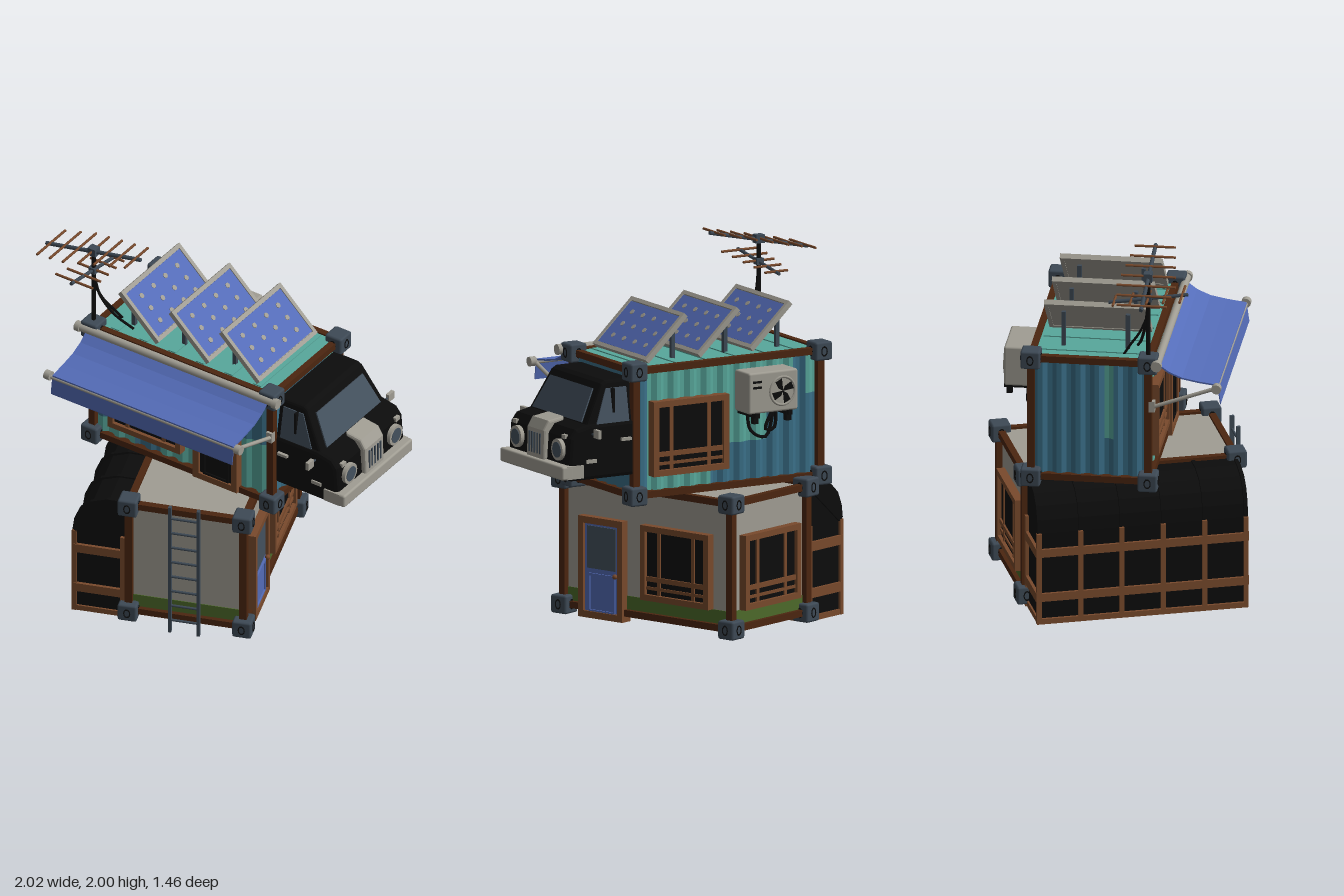
import * as THREE from 'three';
import { RoundedBoxGeometry } from 'three/addons/geometries/RoundedBoxGeometry.js';

const mat = (name, color) => Object.assign(new THREE.MeshStandardMaterial({ color }), { name });
const black = mat('black', 0x0c0c0c), slate = mat('slate', 0x3e4a56), rust = mat('dark rust', 0x4c2610);
const wood = mat('wood', 0x794a2c), teal = mat('teal', 0x58a89c), steel = mat('steel blue', 0x3a6f88);
const blue = mat('blue', 0x546cb8), grey = mat('warm grey', 0xa09d93), green = mat('green', 0x4d6a2a);
const glass = mat('glass', 0x44515e);
for (const m of [teal, steel, blue]) m.side = THREE.DoubleSide;

const V = (x, y, z) => new THREE.Vector3(x, y, z);
function add(parent, name, geo, m, x = 0, y = 0, z = 0) {
  const o = new THREE.Mesh(geo, m);
  o.name = name; o.position.set(x, y, z); parent.add(o);
  return o;
}
const box = (p, name, m, w, h, d, x, y, z) => add(p, name, new THREE.BoxGeometry(w, h, d), m, x, y, z);
function group(parent, name, x = 0, y = 0, z = 0, ry = 0) {
  const g = new THREE.Group();
  g.name = name; g.position.set(x, y, z); g.rotation.y = ry; parent.add(g);
  return g;
}
// Straight rod between two points
function rod(p, name, m, a, b, r, sides = 8) {
  const o = add(p, name, new THREE.CylinderGeometry(r, r, a.distanceTo(b), sides), m);
  o.position.copy(a).lerp(b, 0.5);
  o.quaternion.setFromUnitVectors(V(0, 1, 0), b.clone().sub(a).normalize());
}
const cable = (p, name, m, pts, r) =>
  add(p, name, new THREE.TubeGeometry(new THREE.CatmullRomCurve3(pts), 16, r, 6), m);
const poly = pts => new THREE.Shape(pts.map(q => new THREE.Vector2(q[0], q[1])));
const slab = (pts, depth, bevel = 0) => new THREE.ExtrudeGeometry(poly(pts),
  { depth, bevelEnabled: bevel > 0, bevelSize: bevel, bevelThickness: bevel, bevelOffset: -bevel, bevelSegments: 2 });

// Container frame: corner castings, posts and beams
function frame(p, hx, hz, y0, y1) {
  for (const x of [-hx, hx]) for (const z of [-hz, hz]) {
    box(p, 'post', rust, 0.04, y1 - y0, 0.04, x, (y0 + y1) / 2, z);
    for (const y of [y0, y1]) {
      const c = group(p, 'cornerCasting', x, y, z);
      add(c, 'block', new RoundedBoxGeometry(0.104, 0.1, 0.104, 1, 0.012), slate);
      for (let i = 0; i < 4; i++) {
        const s = group(c, 'socket', 0, 0, 0, i * Math.PI / 2);
        add(s, 'socketRing', new THREE.TorusGeometry(0.022, 0.004, 6, 12), black, 0, 0, 0.052).scale.set(0.75, 1.1, 1);
      }
    }
  }
  for (const y of [y0, y1]) for (const s of [-1, 1]) {
    box(p, 'beam', rust, hx * 2, 0.036, 0.036, 0, y, s * hz);
    box(p, 'beam', rust, 0.036, 0.036, hz * 2, s * hx, y, 0);
  }
}
// Rectangular wooden surround
function surround(g, w, h, t, d) {
  for (const s of [-1, 1]) {
    box(g, 'jamb', wood, t, h, d, s * (w - t) / 2, 0, 0);
    box(g, 'rail', wood, w, t, d, 0, s * (h - t) / 2, 0);
  }
}
function windowUnit(p, x, y, z, ry) {
  const g = group(p, 'window', x, y, z, ry), w = 0.46, h = 0.4;
  surround(g, w, h, 0.032, 0.07);
  box(g, 'pane', black, w - 0.05, h - 0.05, 0.03, 0, 0, 0);
  for (const s of [-1, 1]) box(g, 'mullion', wood, 0.02, h, 0.045, s * 0.115, 0, 0);
  box(g, 'transom', wood, w - 0.02, 0.026, 0.05, 0, -0.085, 0);
  box(g, 'transom', wood, w - 0.02, 0.016, 0.045, 0, -0.135, 0);
}
function doorUnit(p, x, y, z, ry, w, h, m) {
  const g = group(p, 'door', x, y, z, ry);
  surround(g, w, h, 0.036, 0.07);
  box(g, 'doorLeaf', m, w - 0.06, h - 0.04, 0.04, 0, -0.01, 0);
  box(g, 'doorGlass', glass, w - 0.11, h * 0.42, 0.006, 0, h * 0.2, 0.022);
  for (const s of [-1, 1]) {
    box(g, 'panelMoulding', m, 0.014, h * 0.36, 0.012, s * (w / 2 - 0.065), -h * 0.25, 0.022);
    box(g, 'panelMoulding', m, w - 0.12, 0.014, 0.012, 0, -h * 0.25 + s * h * 0.18, 0.022);
  }
  add(g, 'knob', new THREE.SphereGeometry(0.014, 10, 8), wood, w / 2 - 0.05, -0.03, 0.035);
}
// Corrugated sheet; isSteel(u, v) picks the paint of each cell
function corrugated(p, name, w, h, x, y, z, ry, isSteel) {
  const ribs = Math.round(w / 0.1), nx = ribs * 4, ny = 6;
  const geo = new THREE.PlaneGeometry(w, h, nx, ny).toNonIndexed(), a = geo.attributes.position;
  for (let i = 0; i < a.count; i++) {
    const k = Math.round((a.getX(i) / w + 0.5) * nx) % 4;
    a.setZ(i, k === 1 || k === 2 ? 0.016 : 0);
  }
  for (let j = 0; j < ny; j++) for (let i = 0; i < nx; i++)
    geo.addGroup((j * nx + i) * 6, 6, isSteel((i + 0.5) / nx, 1 - (j + 0.5) / ny) ? 1 : 0);
  geo.computeVertexNormals();
  add(p, name, geo, [teal, steel], x, y, z).rotation.y = ry;
}

function lowerRoom(root) {
  const g = group(root, 'lowerRoom', -0.06, 0, -0.09, -0.053);
  frame(g, 0.31, 0.565, 0.06, 0.73);
  box(g, 'walls', grey, 0.6, 0.68, 1.11, 0, 0.395, 0);
  box(g, 'greenStripe', green, 0.608, 0.09, 1.118, 0, 0.105, 0);
  doorUnit(g, 0.31, 0.28, 0.294, Math.PI / 2, 0.3, 0.54, blue);
  windowUnit(g, 0.31, 0.35, -0.206, Math.PI / 2);
  windowUnit(g, 0, 0.35, -0.565, Math.PI);
  // Ladder
  const l = group(g, 'ladder', 0.005, 0, 0.632);
  for (const s of [-1, 1]) box(l, 'ladderRail', slate, 0.016, 0.8, 0.022, s * 0.077, 0.4, 0);
  for (let i = 0; i < 8; i++) rod(l, 'rung', slate, V(-0.077, 0.075 + i * 0.093, 0), V(0.077, 0.075 + i * 0.093, 0), 0.007);
  // Lean-to with curved cover
  const s = group(g, 'leanTo');
  const arc = [[-0.605, 0.51], [-0.595, 0.58], [-0.565, 0.65], [-0.51, 0.7], [-0.42, 0.73]];
  add(s, 'cover', slab([[-0.31, 0.02], [-0.605, 0.02], ...arc, [-0.31, 0.73]].reverse(), 1.11), black, 0, 0, -0.555);
  box(s, 'basePlate', wood, 0.31, 0.03, 1.13, -0.465, 0.015, 0);
  for (let i = 0; i <= 5; i++) {
    const z = -0.555 + i * 0.222;
    box(s, 'post', wood, 0.026, 0.51, 0.026, -0.607, 0.255, z);
    const rib = [[-0.33, 0.72], [-0.33, 0.738], ...arc.map(q => [q[0] - 0.012, q[1] + 0.008]).reverse(), [-0.59, 0.5]];
    add(s, 'coverRib', slab(rib, 0.02), black, 0, 0, z - 0.01);
  }
  for (const y of [0.15, 0.4]) {
    box(s, 'sideRail', wood, 0.026, 0.045, 1.13, -0.607, y, 0);
    for (const e of [-1, 1]) box(s, 'endRail', wood, 0.29, 0.05, 0.024, -0.465, y, e * 0.56);
  }
  for (const e of [-1, 1]) box(s, 'innerPost', wood, 0.024, 0.51, 0.026, -0.345, 0.255, e * 0.56);
}

// Roof panel, tilted to face the cab
function solarPanel(p, t) {
  const g = group(p, 'solarPanel', t, 1.585, 0.01);
  const tilt = group(g, 'tilt');
  tilt.rotation.z = -0.76;
  box(tilt, 'panelBack', grey, 0.31, 0.014, 0.52, 0, -0.004, 0);
  box(tilt, 'cells', blue, 0.28, 0.006, 0.5, 0, 0.006, 0);
  for (const s of [-1, 1]) {
    box(tilt, 'edge', grey, 0.022, 0.028, 0.54, s * 0.154, 0, 0);
    box(tilt, 'edge', grey, 0.33, 0.028, 0.022, 0, 0, s * 0.26);
    box(g, 'leg', slate, 0.022, 0.2, 0.022, -0.095, -0.045, s * 0.17);
  }
  for (let i = 0; i < 3; i++) for (let j = 0; j < 4; j++)
    add(tilt, 'cellSpot', new THREE.CylinderGeometry(0.015, 0.015, 0.004, 8), grey, (i - 1) * 0.08, 0.01, (j - 1.5) * 0.11);
}

function awning(p) {
  const g = group(p, 'awning', 0, 0, 0.31);
  const prof = [[0.05, 1.44], [0.11, 1.395], [0.18, 1.365], [0.27, 1.348], [0.37, 1.335], [0.385, 1.23]];
  const out = [...prof.map(q => [q[0], q[1] + 0.006]), ...prof.map(q => [q[0] - 0.004, q[1] - 0.002]).reverse()];
  add(g, 'canopy', slab(out, 1.15), blue, 0.575, 0, 0).rotation.y = -Math.PI / 2;
  rod(g, 'rollTube', grey, V(-0.63, 1.45, 0.05), V(0.63, 1.45, 0.05), 0.022, 12);
  rod(g, 'frontBar', grey, V(-0.6, 1.325, 0.365), V(0.6, 1.325, 0.365), 0.011);
  for (const s of [-1, 1]) {
    rod(g, 'rollCap', grey, V(s * 0.61, 1.45, 0.05), V(s * 0.64, 1.45, 0.05), 0.029, 12);
    rod(g, 'barCap', grey, V(s * 0.585, 1.33, 0.365), V(s * 0.62, 1.33, 0.365), 0.026, 12);
    rod(g, 'arm', grey, V(s * 0.575, 1.2, 0.03), V(s * 0.585, 1.325, 0.36), 0.011);
    box(g, 'armBracket', grey, 0.035, 0.06, 0.03, s * 0.57, 1.2, 0.02);
  }
}

function antenna(p) {
  const g = group(p, 'antenna', -0.565, 0, 0.31);
  rod(g, 'mast', black, V(0, 1.45, 0), V(0, 1.95, 0), 0.012);
  box(g, 'mastClamp', slate, 0.05, 0.045, 0.045, 0, 1.93, 0);
  box(g, 'mastClamp', slate, 0.04, 0.035, 0.04, 0, 1.81, 0);
  rod(g, 'upperBoom', slate, V(-0.3, 1.86, 0), V(0.3, 1.99, 0), 0.011, 6);
  for (let i = 0; i < 7; i++) {
    const x = -0.27 + i * 0.09, y = 1.925 + x * 0.217, l = 0.085 + 0.012 * (6 - Math.abs(i - 2));
    rod(g, 'upperElement', wood, V(x, y + 0.008, -l), V(x, y + 0.008, l), 0.007, 6);
  }
  rod(g, 'lowerBoom', slate, V(0, 1.84, 0.21), V(0, 1.775, -0.21), 0.01, 6);
  for (let i = 0; i < 5; i++) {
    const z = -0.18 + i * 0.09, l = 0.07 + 0.012 * i;
    rod(g, 'lowerElement', wood, V(-l, 1.812 + z * 0.155, z), V(l, 1.812 + z * 0.155, z), 0.007, 6);
  }
  cable(g, 'cable', black, [V(0, 1.78, 0), V(0.03, 1.64, -0.02), V(0.1, 1.53, -0.05), V(0.2, 1.46, -0.08)], 0.008);
  cable(g, 'cable', black, [V(0, 1.72, 0), V(0.03, 1.6, -0.05), V(0.06, 1.52, -0.1), V(0.09, 1.45, -0.14)], 0.007);
}

function airConditioner(p) {
  const g = group(p, 'airConditioner', -0.18, 1.285, -0.41, Math.PI);
  add(g, 'housing', new RoundedBoxGeometry(0.3, 0.22, 0.15, 2, 0.012), grey);
  add(g, 'fanRing', new THREE.TorusGeometry(0.075, 0.007, 6, 24), grey, 0.055, 0, 0.075);
  for (let i = 0; i < 4; i++) {
    const f = group(g, 'fanBlade', 0.055, 0, 0.077);
    f.rotation.z = i * Math.PI / 2 + 0.3;
    add(f, 'blade', slab([[0, 0], [0.065, -0.012], [0.06, 0.028], [0.02, 0.02]], 0.005), black);
  }
  for (let i = 0; i < 2; i++) box(g, 'vent', black, 0.055, 0.012, 0.006, -0.1, 0.06 - i * 0.03, 0.075);
  for (const s of [-1, 1]) {
    box(g, 'bracketArm', black, 0.025, 0.025, 0.2, s * 0.1, -0.12, -0.02);
    box(g, 'bracketFoot', black, 0.03, 0.05, 0.03, s * 0.1, -0.14, 0.05);
    cable(g, 'hose', black, [V(-0.09 * s, -0.1, -0.05), V(-0.07 * s, -0.22, -0.04),
      V(0.02, -0.24 - s * 0.02, -0.04), V(0.08, -0.1, -0.05)], 0.009);
  }
}

// Truck cab on the end of the container
function cab(p) {
  const g = group(p, 'cab', 0, 0, -0.015);
  const taper = geo => {
    const a = geo.attributes.position;
    for (let i = 0; i < a.count; i++) a.setZ(i, a.getZ(i) * (1 - 0.6 * Math.max(0, a.getY(i) - 1.15)));
    geo.computeVertexNormals();
    return geo;
  };
  add(g, 'cabBody', slab([[0.57, 0.89], [0.95, 0.89], [0.975, 0.98], [0.965, 1.12], [0.93, 1.165], [0.84, 1.185], [0.57, 1.185]], 0.58, 0.02), black, 0, 0, -0.29);
  const roof = slab([[0.57, 1.15], [0.872, 1.15], [0.745, 1.385], [0.72, 1.4], [0.57, 1.4]], 0.57, 0.015).translate(0, 0, -0.285);
  add(g, 'cabRoof', taper(roof), black);
  const ws = group(g, 'windshield', 0.811, 1.276, 0);
  ws.rotation.set(-0.495, Math.PI / 2, 0, 'YXZ');
  add(ws, 'windshieldGlass', slab([[-0.25, -0.1], [0.25, -0.1], [0.215, 0.09], [-0.215, 0.09]], 0.008), glass);
  for (const s of [-1, 1]) {
    const pane = slab([[0.6, 1.18], [0.8, 1.18], [0.725, 1.36], [0.6, 1.36]], 0.008).translate(0, 0, s * 0.302 - 0.004);
    add(g, 'sideGlass', taper(pane), glass);
    box(g, 'quarterBar', black, 0.014, 0.2, 0.03, 0.69, 1.26, s * 0.276);
    box(g, 'doorHandle', grey, 0.06, 0.016, 0.02, 0.63, 1.09, s * 0.317);
    box(g, 'stepTrim', grey, 0.06, 0.02, 0.012, 0.84, 0.99, s * 0.312);
    rod(g, 'mirrorArm', slate, V(0.83, 1.13, s * 0.3), V(0.84, 1.15, s * 0.37), 0.006);
    box(g, 'mirror', grey, 0.02, 0.045, 0.05, 0.84, 1.145, s * 0.375);
    rod(g, 'headlightRim', grey, V(0.95, 1.05, s * 0.21), V(0.99, 1.05, s * 0.21), 0.058, 20);
    rod(g, 'headlightLens', glass, V(0.98, 1.05, s * 0.21), V(0.993, 1.05, s * 0.21), 0.042, 20);
    box(g, 'indicator', grey, 0.02, 0.022, 0.035, 0.965, 1.125, s * 0.25);
  }
  add(g, 'grille', slab([[0.87, 1.13], [0.94, 0.97], [1.0, 0.97], [0.995, 1.13], [0.965, 1.18], [0.87, 1.195]], 0.15, 0.012), grey, 0, 0, -0.075);
  for (let i = 0; i < 5; i++) box(g, 'grilleSlot', slate, 0.006, 0.11, 0.01, 0.999, 1.055, (i - 2) * 0.026);
  add(g, 'bumper', new RoundedBoxGeometry(0.075, 0.075, 0.64, 2, 0.012), grey, 0.985, 0.94, 0);
  for (const s of [-1, 1]) box(g, 'bumperReturn', grey, 0.1, 0.07, 0.025, 0.94, 0.94, s * 0.307);
}

function upperRoom(root) {
  const g = group(root, 'upperRoom', -0.06, 0, -0.165, -0.4);
  frame(g, 0.565, 0.31, 0.775, 1.44);
  const y = 1.107, h = 0.66;
  corrugated(g, 'frontWall', 1.11, h, 0, y, 0.294, 0, (u, v) =>
    (u < 0.13 && v > 0.2) || (u > 0.22 && u < 0.36 && v < 0.34) || (u > 0.78 && v > 0.45));
  corrugated(g, 'backWall', 1.11, h, 0, y, -0.294, Math.PI, (u, v) =>
    (u > 0.72 && v < 0.75) || (u > 0.42 && v < 0.3) || u < 0.07 || (u > 0.86 && u < 0.94));
  corrugated(g, 'cabEndWall', 0.6, h, 0.549, y, 0, Math.PI / 2, (u, v) => u < 0.85 || v < 0.5);
  corrugated(g, 'plainEndWall', 0.6, h, -0.549, y, 0, -Math.PI / 2, (u, v) => !(u > 0.62 && u < 0.7 && v > 0.3));
  box(g, 'roof', teal, 1.12, 0.02, 0.61, 0, 1.44, 0);
  for (let i = 0; i < 6; i++) box(g, 'roofRib', teal, 0.05, 0.008, 0.56, (i - 2.5) * 0.18, 1.452, 0);
  box(g, 'floor', steel, 1.12, 0.02, 0.61, 0, 0.775, 0);
  for (let i = 0; i < 8; i++) box(g, 'floorRib', steel, 0.05, 0.008, 0.56, (i - 3.5) * 0.14, 0.763, 0);
  windowUnit(g, -0.22, 1.07, 0.315, 0);
  windowUnit(g, 0.24, 1.07, -0.315, Math.PI);
  doorUnit(g, 0.23, 1.065, 0.315, 0, 0.28, 0.6, black);
  for (const t of [-0.3, 0.02, 0.34]) solarPanel(g, t);
  awning(g);
  antenna(g);
  airConditioner(g);
  cab(g);
}

export function createModel() {
  const root = new THREE.Group();
  root.name = 'stackedContainerHouse';
  lowerRoom(root);
  upperRoom(root);
  return root;
}
